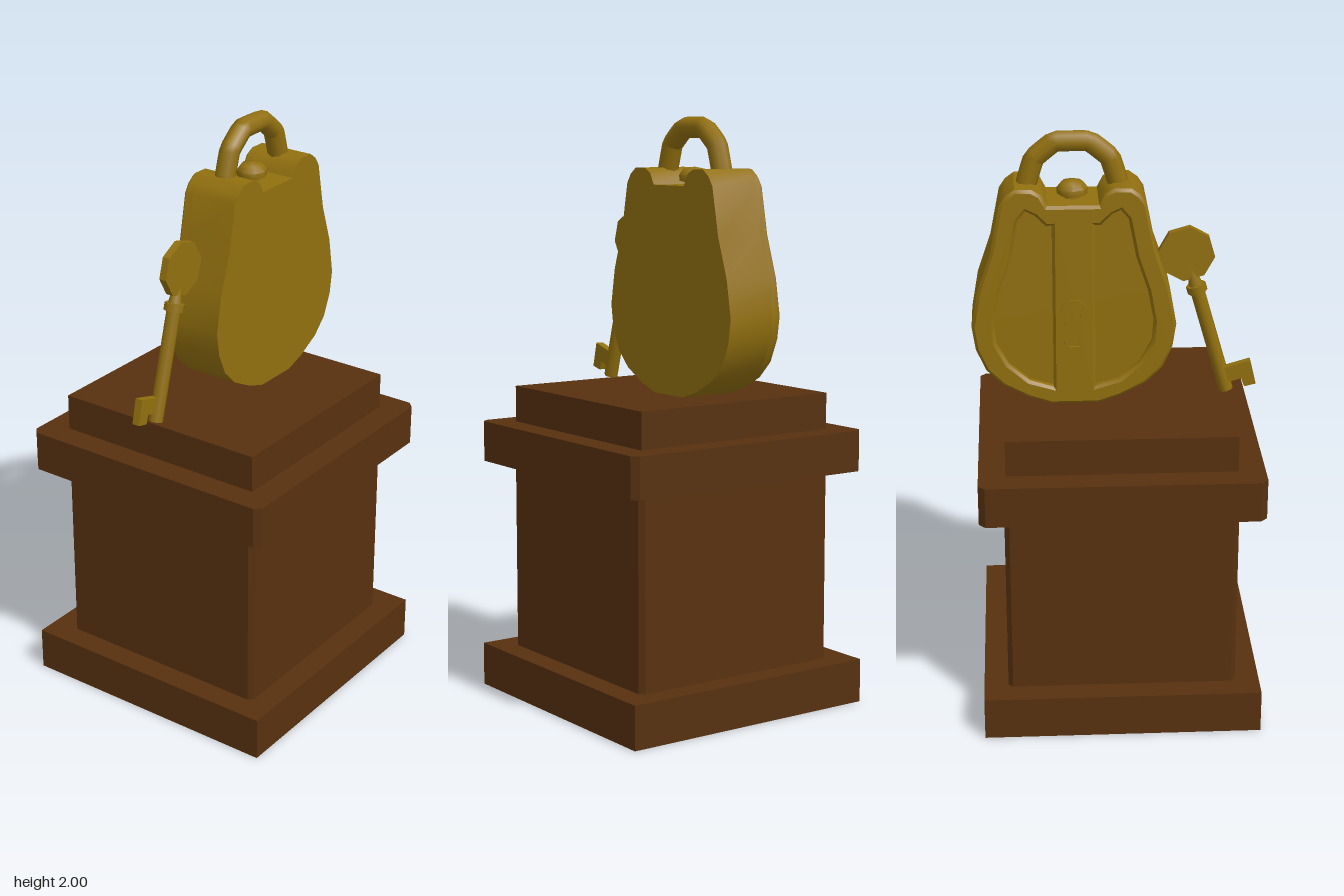
import * as THREE from 'three';
import { toCreasedNormals } from 'three/addons/utils/BufferGeometryUtils.js';

const gold = new THREE.MeshStandardMaterial({ color: 0x92700f });
const wood = new THREE.MeshStandardMaterial({ color: 0x57310f });

function add(parent, name, geometry, material, x = 0, y = 0, z = 0) {
  const mesh = new THREE.Mesh(geometry, material);
  mesh.name = name;
  mesh.position.set(x, y, z);
  parent.add(mesh);
  return mesh;
}

const toPoints = (list) => list.map(([a, b]) => new THREE.Vector2(a, b));

// Profile in (z, y), extruded from x = start towards -x
function sideExtrude(shape, start, depth, bevel = 0) {
  const g = new THREE.ExtrudeGeometry(shape, {
    depth: depth - 2 * bevel, bevelEnabled: bevel > 0, bevelThickness: bevel,
    bevelSize: bevel, bevelOffset: -bevel, bevelSegments: 1,
  });
  g.translate(0, 0, bevel);
  g.rotateY(-Math.PI / 2);
  g.translate(start, 0, 0);
  return toCreasedNormals(g, 0.6);
}

// Square block with cut vertical corners
function block(half, y0, y1, cut) {
  const h = half, c = half - cut;
  const shape = new THREE.Shape(toPoints([
    [c, -h], [h, -c], [h, c], [c, h], [-c, h], [-h, c], [-h, -c], [-c, -h],
  ]));
  const g = new THREE.ExtrudeGeometry(shape, { depth: y1 - y0, bevelEnabled: false });
  g.rotateX(-Math.PI / 2);
  g.translate(0, y0, 0);
  return g;
}

function makePedestal() {
  const pedestal = new THREE.Group();
  pedestal.name = 'pedestal';
  pedestal.position.set(0, 0, 0.008);
  add(pedestal, 'base', new THREE.BoxGeometry(0.945, 0.15, 0.945), wood, 0, 0.075, 0);
  add(pedestal, 'column', block(0.39, 0.15, 0.81, 0.016), wood);
  add(pedestal, 'cornice', block(0.4725, 0.81, 0.95, 0.022), wood);
  add(pedestal, 'topSlab', new THREE.BoxGeometry(0.765, 0.125, 0.765), wood, 0, 1.0125, 0);
  return pedestal;
}

function makePadlock() {
  const lock = new THREE.Group();
  lock.name = 'padlock';
  lock.position.z = -0.137;

  // Right half of the outline, bottom to top, then mirrored
  const half = [
    [0.08, 1.08], [0.155, 1.105], [0.24, 1.15], [0.295, 1.205], [0.328, 1.28], [0.34, 1.36],
    [0.318, 1.485], [0.272, 1.62], [0.24, 1.78], [0.22, 1.81], [0.19, 1.832],
    [0.135, 1.832], [0.105, 1.815], [0.085, 1.777],
  ];
  const outline = toPoints([...half, ...half.map(([z, y]) => [-z, y]).reverse()]);
  add(lock, 'lockBody', sideExtrude(new THREE.Shape(outline), 0.106, 0.18), gold);

  // Raised rim and centre bar around two sunken panels
  const panel = [
    [0.07, 1.14], [0.15, 1.165], [0.22, 1.225], [0.26, 1.3], [0.265, 1.37], [0.245, 1.48],
    [0.205, 1.6], [0.18, 1.73], [0.155, 1.76], [0.125, 1.745], [0.09, 1.71], [0.07, 1.71],
  ];
  const face = new THREE.Shape(outline);
  for (const s of [1, -1]) {
    face.holes.push(new THREE.Path(toPoints(panel.map(([z, y]) => [s * z, y]))));
  }
  add(lock, 'faceRim', sideExtrude(face, -0.055, 0.047, 0.01), gold);

  // Keyhole plate: round head with a flared tail
  const plate = new THREE.Shape();
  plate.moveTo(-0.035, 1.27);
  plate.lineTo(0.035, 1.27);
  plate.lineTo(0.028, 1.38);
  plate.absarc(0, 1.41, 0.045, -0.8, Math.PI + 0.8, false);
  const slot = new THREE.Path();
  slot.moveTo(-0.018, 1.29);
  slot.lineTo(0.018, 1.29);
  slot.lineTo(0.012, 1.39);
  slot.absarc(0, 1.41, 0.024, -0.8, Math.PI + 0.8, false);
  plate.holes.push(slot);
  add(lock, 'keyholePlate', sideExtrude(plate, -0.095, 0.013), gold);

  // Faceted shackle
  const arc = [
    [-0.152, 1.76], [-0.15, 1.825], [-0.124, 1.91], [-0.056, 1.965],
    [0.056, 1.965], [0.124, 1.91], [0.15, 1.825], [0.152, 1.76],
  ].map(([z, y]) => new THREE.Vector3(0, y, z));
  const path = new THREE.CatmullRomCurve3(arc, false, 'catmullrom', 0.1);
  add(lock, 'shackle', new THREE.TubeGeometry(path, 36, 0.035, 8), gold);

  // Knob between the shackle legs
  const knob = toPoints([[0.028, 1.76], [0.028, 1.785], [0.05, 1.79], [0.052, 1.81],
    [0.036, 1.83], [0, 1.837]]);
  add(lock, 'knob', toCreasedNormals(new THREE.LatheGeometry(knob, 8), 0.9), gold);
  return lock;
}

function makeKey() {
  // Built upright, then leaned back against the lock
  const key = new THREE.Group();
  key.name = 'key';
  key.position.set(-0.012, 1.084, 0.383);
  key.rotation.x = -0.28;
  add(key, 'keyShaft', new THREE.CylinderGeometry(0.024, 0.024, 0.4, 8), gold, 0, 0.2, 0);
  add(key, 'keyCollar', new THREE.CylinderGeometry(0.034, 0.034, 0.026, 8), gold, 0, 0.386, 0);
  add(key, 'keyNeck', new THREE.CylinderGeometry(0.014, 0.024, 0.06, 8), gold, 0, 0.425, 0);

  const bow = new THREE.CylinderGeometry(0.095, 0.095, 0.027, 8);
  bow.rotateZ(Math.PI / 2);
  bow.rotateX(Math.PI / 8);
  add(key, 'keyBow', toCreasedNormals(bow, 0.5), gold, 0, 0.515, 0);

  const bit = new THREE.Shape(toPoints([
    [0, 0.03], [0.06, 0.03], [0.062, -0.002], [0.103, -0.004], [0.107, 0.084], [0, 0.084],
  ]));
  add(key, 'keyBit', sideExtrude(bit, 0.009, 0.027), gold);
  return key;
}

export function createModel() {
  const model = new THREE.Group();
  model.name = 'padlockOnPedestal';
  model.add(makePedestal(), makePadlock(), makeKey());
  return model;
}
